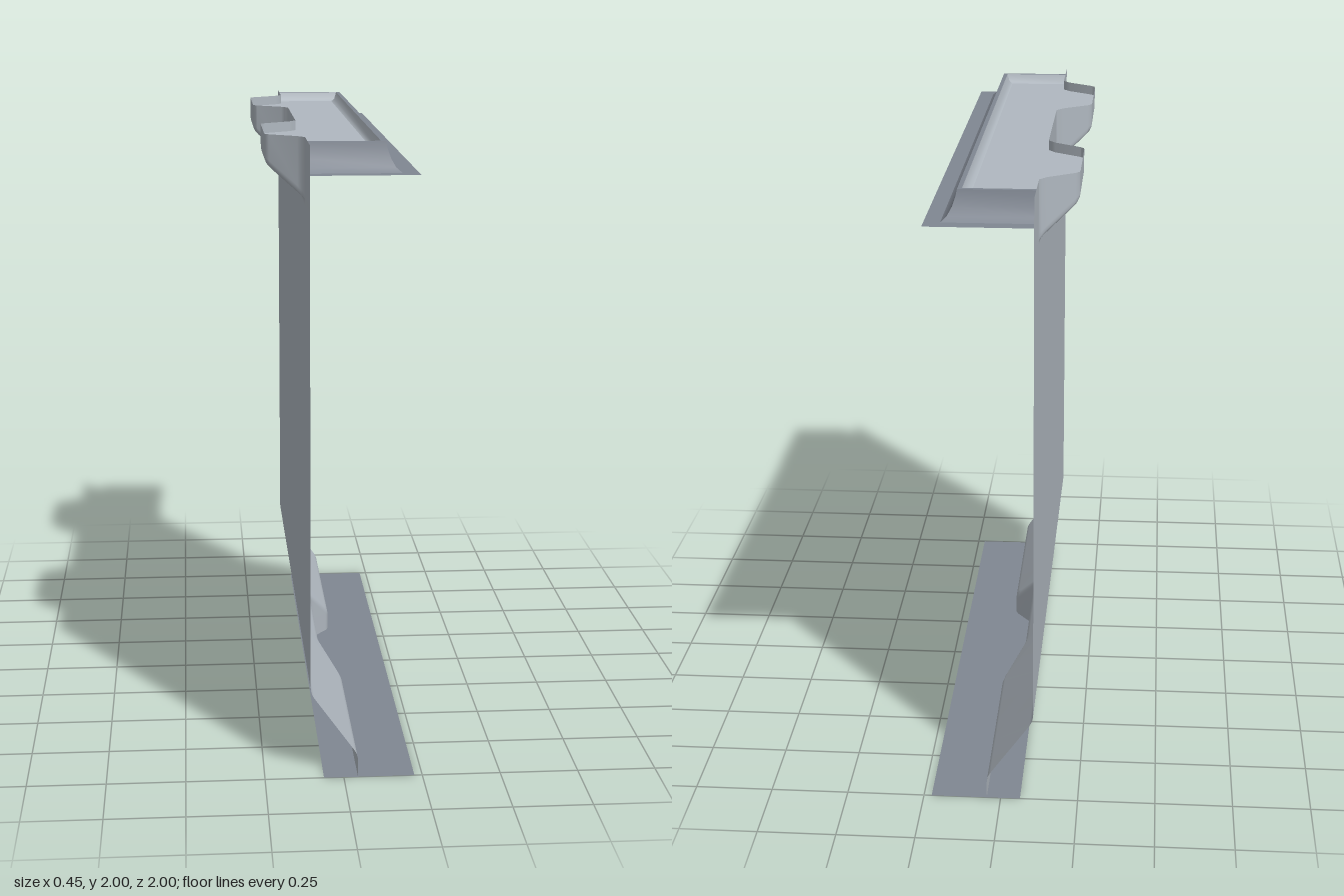
import * as THREE from 'three';

const paint = (name, color) => {
  const m = new THREE.MeshStandardMaterial({ color, side: THREE.DoubleSide });
  m.name = name;
  return m;
};

// Smooth open surface through equal-length rows of [x, y, z] points
function sheet(name, rows, material) {
  const n = rows[0].length, index = [];
  for (let i = 0; i < rows.length - 1; i++) {
    for (let j = 0; j < n - 1; j++) {
      const a = i * n + j, b = a + n;
      index.push(a, b, a + 1, b, b + 1, a + 1);
    }
  }
  const g = new THREE.BufferGeometry();
  g.setAttribute('position', new THREE.Float32BufferAttribute(rows.flat(2), 3));
  g.setIndex(index);
  g.computeVertexNormals();
  const mesh = new THREE.Mesh(g, material);
  mesh.name = name;
  return mesh;
}

// Piecewise linear lookup
function lookup(points, t) {
  if (t <= points[0][0]) return points[0][1];
  for (let i = 1; i < points.length; i++) {
    const [a, u] = points[i - 1], [b, v] = points[i];
    if (t <= b) return u + (v - u) * (t - a) / (b - a);
  }
  return points[points.length - 1][1];
}

// Replace the inner corners of a 2D path with small curves
function soften(path, r) {
  const p = path.map(([x, y]) => new THREE.Vector2(x, y));
  const out = [p[0]];
  for (let i = 1; i < p.length - 1; i++) {
    const toward = (q) => {
      const d = q.distanceTo(p[i]);
      return p[i].clone().lerp(q, Math.min(r / d, 0.45));
    };
    out.push(...new THREE.QuadraticBezierCurve(toward(p[i - 1]), p[i], toward(p[i + 1])).getPoints(3));
  }
  out.push(p[p.length - 1]);
  return out;
}

const WALL = -0.105, FRONT = 0.225;
const rise = [[0.24, 0], [0.25, 0.008], [0.27, 0.022], [0.33, 0.107], [0.345, 0.118], [0.36, 0.12]];
const pocketCurve = [...rise, ...rise.map(([z, d]) => [1.01 - z, d]).reverse()];
const recessCurve = [[0.235, 0.075], [0.255, 0.068], [0.335, 0.007], [0.355, 0]];
const pocket = (z) => Math.max(lookup(pocketCurve, Math.abs(z)), 0.0002);
const recess = (z) => lookup(recessCurve, Math.abs(z));

// Stations along the length, mirrored about the middle
function stations(limit) {
  const half = [...pocketCurve, ...recessCurve].map((p) => p[0]).concat([0.22, 0.37, 0.63, 0.79, limit]);
  return [...new Set([0, ...half, ...half.map((z) => -z)])].sort((a, b) => a - b);
}

export function createModel() {
  const model = new THREE.Group();
  model.name = 'wallPanel';
  const light = paint('light grey', 0xb0b8c0);
  const dark = paint('dark grey', 0x808792);

  // Wall with a flared, recessed foot and two pockets bulging out at the top
  const wall = stations(1).map((z) => {
    const d = pocket(z), r = recess(z), foot = 0.045 - r;
    const path = [
      [foot, 0], [foot, 0.075 + r * 0.205 / 0.15], [WALL, 0.285],
      [WALL, 1.81], [WALL - d, 1.81 + d * 0.833], [WALL - d, 2],
    ];
    return soften(path, 0.02).map((p) => [p.x, p.y, z]);
  });
  model.add(sheet('wall', wall, light));

  // Sunken top plate reaching into the pockets
  const plateY = 1.968, inset = 0.13;
  model.add(sheet('topPlate', stations(1 - inset).map((z) => [
    [WALL - pocket(z), plateY, z], [FRONT - inset, plateY, z],
  ]), light));

  // Rim around three sides of the top: [inset from the outer edge, height]
  const rim = (name, profile, material) => {
    const group = new THREE.Group();
    group.name = name;
    const corners = profile.map(([o, y]) => [
      [WALL, y, 1 - o], [FRONT - o, y, 1 - o], [FRONT - o, y, o - 1], [WALL, y, o - 1],
    ]);
    ['LeftEnd', 'Side', 'RightEnd'].forEach((part, k) => {
      group.add(sheet(name + part, corners.map((c) => [c[k], c[k + 1]]), material));
    });
    model.add(group);
  };
  rim('flange', [[0, 1.91], [0.05, 1.91]], dark);
  rim('flare', [[0.05, 1.91], [0.068, 1.925], [0.082, 1.95], [0.092, 1.98], [0.096, 2]], dark);
  rim('lip', [[0.096, 2], [0.11, 2]], dark);
  rim('lipInside', [[0.11, 2], [0.118, 1.975], [inset, plateY]], light);

  // Floor strip
  model.add(sheet('floorStrip', [1, -1].map((z) => [[-0.063, 0, z], [FRONT, 0, z]]), dark));

  return model;
}
